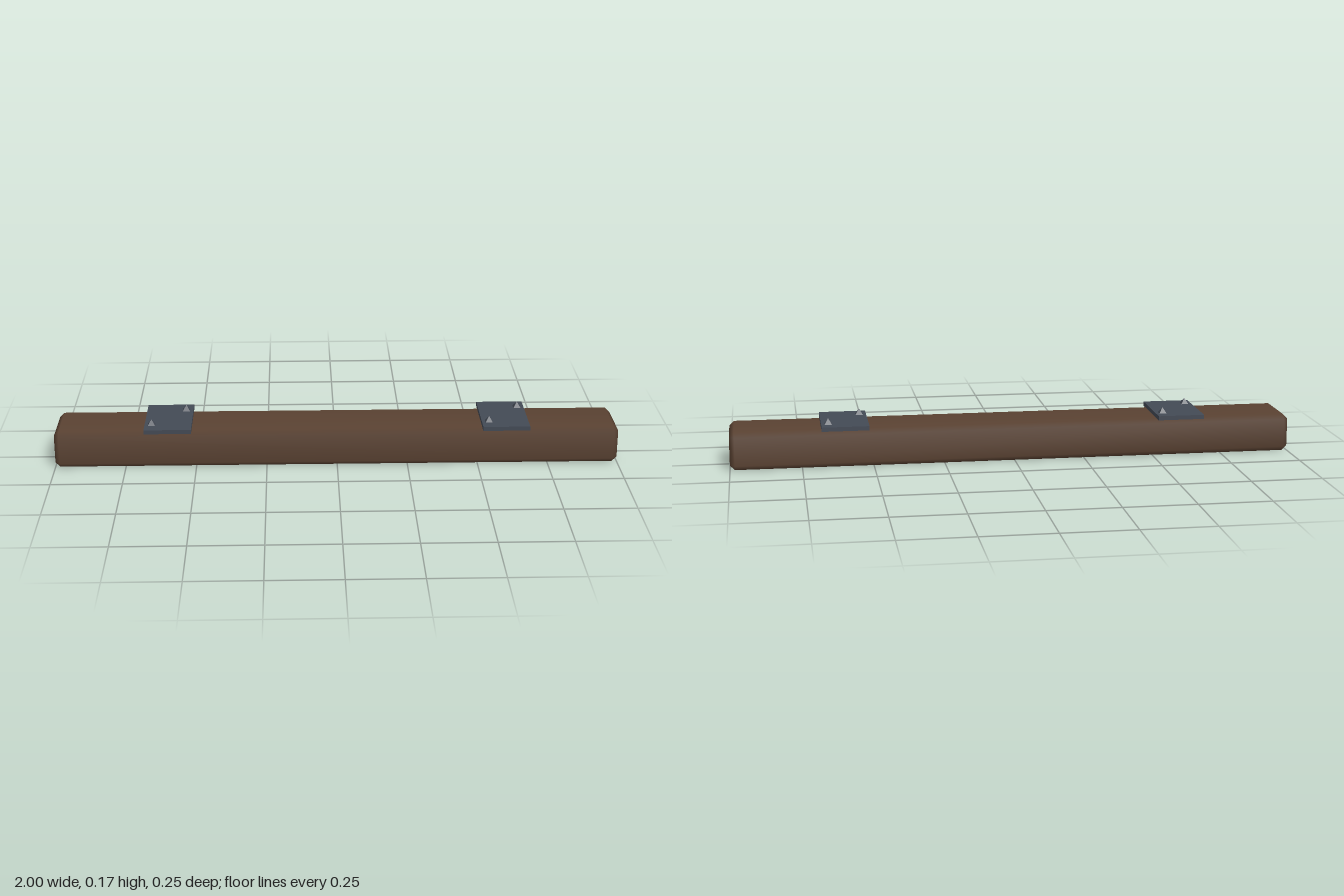
import * as THREE from 'three';
import { ConvexGeometry } from 'three/addons/geometries/ConvexGeometry.js';
import { mergeVertices } from 'three/addons/utils/BufferGeometryUtils.js';

const wood = new THREE.MeshStandardMaterial({ color: 0x5a4232 });
const iron = new THREE.MeshStandardMaterial({ color: 0x434a55, flatShading: true });

// Box with chamfered edges and corners, softly shaded
function chamferedBox(w, h, d, c) {
  const points = [];
  for (const sx of [-1, 1]) for (const sy of [-1, 1]) for (const sz of [-1, 1]) {
    for (let axis = 0; axis < 3; axis++) {
      const p = [w / 2 - c, h / 2 - c, d / 2 - c];
      p[axis] += c;
      points.push(new THREE.Vector3(sx * p[0], sy * p[1], sz * p[2]));
    }
  }
  const hull = new ConvexGeometry(points);
  hull.deleteAttribute('normal');
  const geometry = mergeVertices(hull);
  geometry.computeVertexNormals();
  return geometry;
}

function addMesh(parent, name, geometry, material, x, y, z) {
  const mesh = new THREE.Mesh(geometry, material);
  mesh.name = name;
  mesh.position.set(x, y, z);
  parent.add(mesh);
  return mesh;
}

export function createModel() {
  const model = new THREE.Group();
  model.name = 'beam';

  // Timber lying along x
  addMesh(model, 'timber', chamferedBox(2, 0.134, 0.217, 0.017), wood, 0, 0.067, 0);

  // Iron plates, each with two pyramid studs on opposite corners
  const plateGeometry = new THREE.BoxGeometry(0.166, 0.015, 0.248);
  const studGeometry = new THREE.ConeGeometry(0.0185, 0.021, 4).rotateY(Math.PI / 4);
  for (const side of [-1, 1]) {
    const bracket = new THREE.Group();
    bracket.name = side > 0 ? 'leftBracket' : 'rightBracket';
    bracket.position.set(side * 0.598, 0.141, 0);
    addMesh(bracket, 'plate', plateGeometry, iron, 0, 0, 0);
    for (const s of [-1, 1]) {
      addMesh(bracket, 'stud', studGeometry, iron, s * 0.058, 0.018, -s * 0.07);
    }
    model.add(bracket);
  }
  return model;
}
